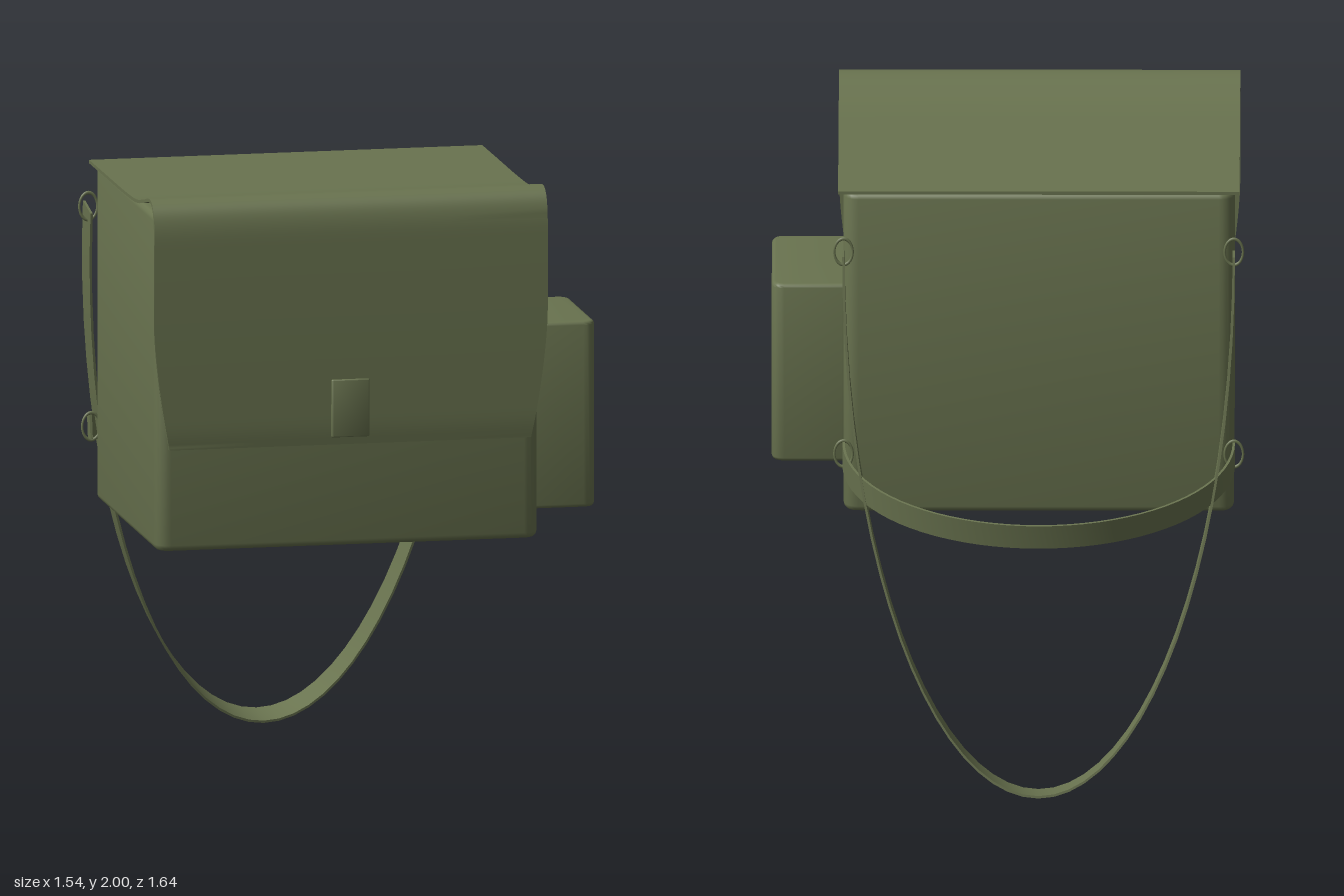
import * as THREE from 'three';
import { toCreasedNormals } from 'three/addons/utils/BufferGeometryUtils.js';

const CX = -0.1; // middle of the bag body in x

export function createModel() {
  const group = new THREE.Group();
  const canvas = new THREE.MeshStandardMaterial({ color: 0x69734f });
  canvas.name = 'olive canvas';

  const add = (name, geometry) => {
    const mesh = new THREE.Mesh(geometry, canvas);
    mesh.name = name;
    group.add(mesh);
    return mesh;
  };

  // Box with rounded upright edges and a small bevel at top and bottom
  const softBox = (x0, x1, y0, y1, z0, z1, r, bevel) => {
    const w = (x1 - x0) / 2 - bevel, d = (z1 - z0) / 2 - bevel;
    const s = new THREE.Shape();
    s.moveTo(-w + r, -d);
    s.lineTo(w - r, -d).quadraticCurveTo(w, -d, w, -d + r);
    s.lineTo(w, d - r).quadraticCurveTo(w, d, w - r, d);
    s.lineTo(-w + r, d).quadraticCurveTo(-w, d, -w, d - r);
    s.lineTo(-w, -d + r).quadraticCurveTo(-w, -d, -w + r, -d);
    const geo = new THREE.ExtrudeGeometry(s, {
      depth: y1 - y0 - 2 * bevel, bevelSize: bevel, bevelThickness: bevel, bevelSegments: 3, curveSegments: 6,
    });
    geo.rotateX(-Math.PI / 2);
    geo.translate((x0 + x1) / 2, y0 + bevel, (z0 + z1) / 2);
    return toCreasedNormals(geo, 0.7);
  };

  add('body', softBox(-0.735, 0.535, 0.835, 1.942, -0.25, 0.75, 0.03, 0.02));
  add('sidePocket', softBox(0.5, 0.77, 0.89, 1.505, 0.07, 0.53, 0.03, 0.012));
  add('clasp', softBox(-0.165, -0.04, 1.205, 1.395, 0.755, 0.813, 0.004, 0.003));

  // Flap: a thin profile (z, y) swept across the width, narrowed near its lower hem
  const path = new THREE.SplineCurve([
    [-0.255, 1.952], [0, 1.953], [0.3, 1.954], [0.5, 1.96], [0.62, 1.98], [0.72, 2], [0.775, 1.982],
    [0.802, 1.92], [0.806, 1.8], [0.804, 1.55], [0.8, 1.35], [0.797, 1.24], [0.79, 1.178],
  ].map(([z, y]) => new THREE.Vector2(z, y)));
  const outer = path.getPoints(60);
  const inner = outer.map((p, i) => {
    const t = path.getTangent(i / 60);
    return new THREE.Vector2(p.x + t.y * 0.011, p.y - t.x * 0.011);
  });
  const flap = new THREE.ExtrudeGeometry(new THREE.Shape([...outer, ...inner.reverse()]), {
    depth: 1.306, bevelEnabled: false, steps: 4,
  });
  flap.translate(0, 0, -0.653);
  flap.rotateY(-Math.PI / 2);
  const pos = flap.attributes.position;
  for (let i = 0; i < pos.count; i++) {
    const hang = Math.min(1, Math.max(0, (1.6 - pos.getY(i)) / 0.42));
    const narrow = pos.getZ(i) > 0.7 ? 0.08 * hang ** 1.6 : 0;
    pos.setX(i, CX + pos.getX(i) * (1 - narrow));
  }
  add('flap', toCreasedNormals(flap, 0.7));

  // Strap: half an elliptical hoop, swept by its width and tilted away from the back
  const strap = (name, length, width, tilt, y, z) => {
    const arc = (grow) => Array.from({ length: 41 }, (_, i) => {
      const a = Math.PI * (1 + i / 40);
      return new THREE.Vector2((0.635 + grow) * Math.cos(a), (length + grow) * Math.sin(a));
    });
    const geo = new THREE.ExtrudeGeometry(new THREE.Shape([...arc(0.004), ...arc(-0.004).reverse()]), {
      depth: width, bevelEnabled: false,
    });
    geo.translate(0, 0, -width);
    const mesh = add(name, toCreasedNormals(geo, 0.7));
    mesh.rotation.x = tilt;
    mesh.position.set(CX, y, z);
  };
  strap('shoulderStrap', 1.788, 0.125, 0.173, 1.765, -0.3);
  strap('waistStrap', 0.517, 0.085, 1.378, 1.02, -0.3);

  // Oval rings at the strap ends
  for (const [level, y, z] of [['upper', 1.78, -0.355], ['lower', 1.06, -0.308]]) {
    for (const side of [-1, 1]) {
      const ring = add(`${level}${side > 0 ? 'Left' : 'Right'}Ring`, new THREE.TorusGeometry(0.03, 0.004, 8, 24));
      ring.scale.y = 1.5;
      ring.position.set(CX + side * 0.635, y, z);
    }
  }
  return group;
}
